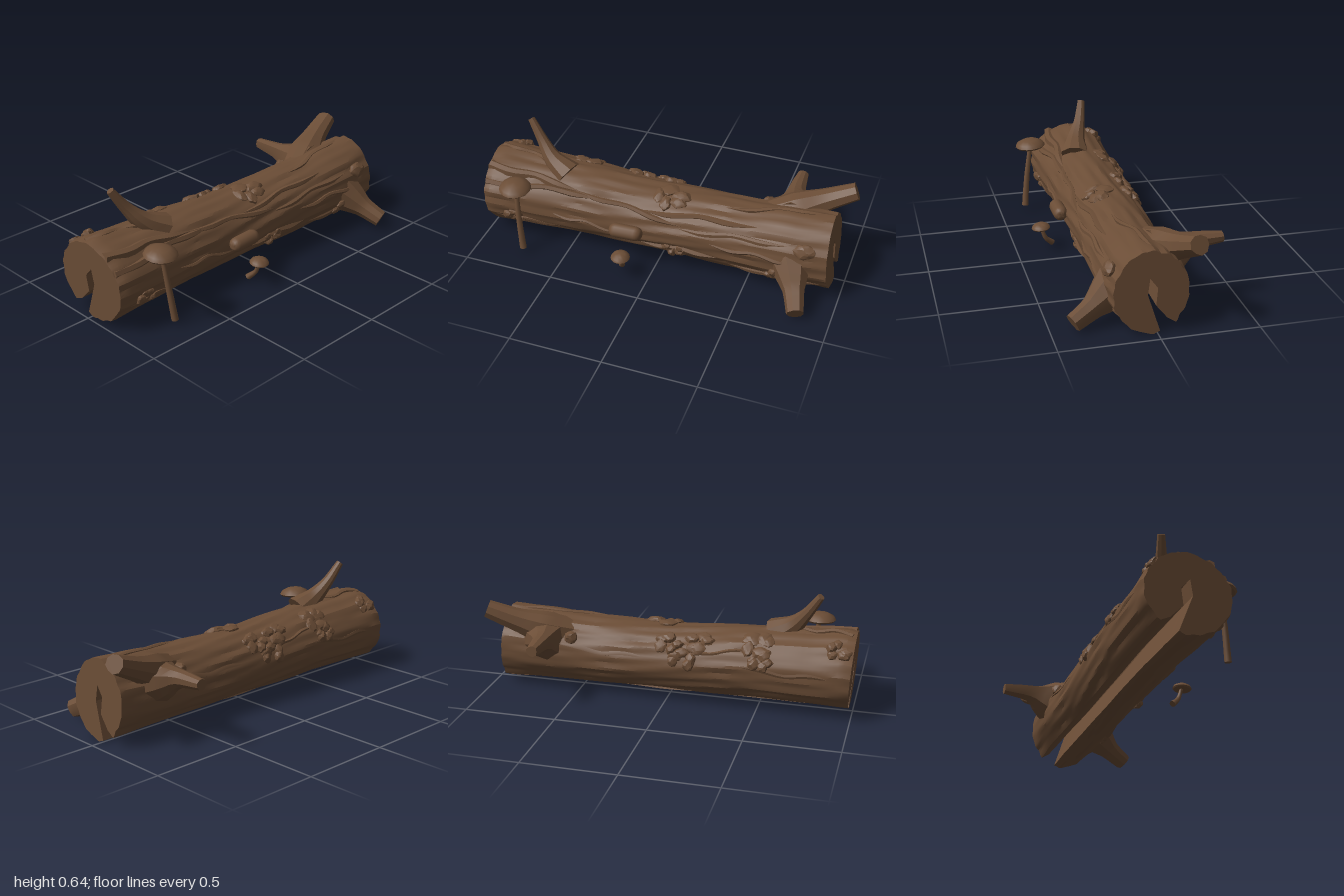
import * as THREE from 'three';
import { toCreasedNormals } from 'three/addons/utils/BufferGeometryUtils.js';

const bark = new THREE.MeshStandardMaterial({ color: 0x6b4d36 });
bark.name = 'barkBrown';

let seed = 7;
const rand = () => (seed = (seed * 16807) % 2147483647) / 2147483647;
const V = (x, y, z) => new THREE.Vector3(x, y, z);

function mesh(name, geometry, crease = 0.45) {
  const m = new THREE.Mesh(toCreasedNormals(geometry, crease), bark);
  m.name = name;
  return m;
}

// Skin a list of rings and close both ends; outline is the flat shape of the caps
function loft(rings, outline) {
  const n = rings[0].length, pos = [], index = [];
  rings.forEach(r => r.forEach(p => pos.push(p.x, p.y, p.z)));
  for (let i = 0; i < rings.length - 1; i++) {
    for (let j = 0; j < n; j++) {
      const a = i * n + j, b = i * n + (j + 1) % n;
      index.push(a, b, a + n, b, b + n, a + n);
    }
  }
  const last = (rings.length - 1) * n;
  for (let [a, b, c] of THREE.ShapeUtils.triangulateShape(outline, [])) {
    const [p, q, r] = [outline[a], outline[b], outline[c]];
    if ((q.x - p.x) * (r.y - p.y) - (q.y - p.y) * (r.x - p.x) < 0) [b, c] = [c, b];
    index.push(last + a, last + b, last + c, a, c, b);
  }
  const g = new THREE.BufferGeometry();
  g.setAttribute('position', new THREE.Float32BufferAttribute(pos, 3));
  g.setIndex(index);
  return g;
}

// Trunk size along x: x, zMin, zMax, yMin, yMax
const stations = [
  [-0.99, -0.19, 0.255, 0.02, 0.435], [-0.96, -0.195, 0.265, 0.02, 0.445],
  [-0.75, -0.19, 0.25, 0.025, 0.43], [-0.5, -0.185, 0.235, 0.03, 0.42],
  [0, -0.175, 0.228, 0.03, 0.395], [0.45, -0.165, 0.23, 0.027, 0.4],
  [0.72, -0.17, 0.237, 0.022, 0.42], [0.93, -0.155, 0.215, 0.012, 0.43]];

function sizeAt(x) {
  let i = 0;
  while (i < stations.length - 2 && x > stations[i + 1][0]) i++;
  const A = stations[i], B = stations[i + 1];
  const t = THREE.MathUtils.smoothstep(x, A[0], B[0]);
  const [, z0, z1, y0, y1] = A.map((v, k) => v + (B[k] - v) * t);
  return { zc: (z0 + z1) / 2, hz: (z1 - z0) / 2, yc: (y0 + y1) / 2, hy: (y1 - y0) / 2 };
}

// Point on the bark; angle 0 is the top and PI/2 the front
function surf(x, a, lift = 0) {
  const s = sizeAt(x);
  const ridge = 0.022 * Math.sin(7 * a + 2.2 * x + Math.sin(5 * x)) * Math.sin(2 * x + 3 * a)
    + 0.022 * Math.abs(Math.sin(8 * a - 1.3 * x + 0.6 * Math.sin(7 * x)))
    + 0.012 * Math.sin(19 * a + 5 * Math.sin(2.5 * x)) - 0.012;
  const k = 1 + ridge + lift;
  return V(x, s.yc + s.hy * k * Math.cos(a), s.zc + s.hz * k * Math.sin(a));
}

// Trunk with the split running along its underside
function trunkGeometry() {
  const split = [[0.1, -0.05], [0.04, 0.35], [-0.17, 0.1], [-0.12, -0.33], [-0.42, -0.66]];
  const rings = [], around = 72, along = 60;
  for (let i = 0; i <= along; i++) {
    const x = -0.99 + 1.92 * i / along, s = sizeAt(x), ring = [];
    for (let j = 0; j <= around; j++) ring.push(surf(x, -2.45 + 5.82 * j / around));
    split.forEach(([z, y]) => ring.push(V(x, s.yc + y * s.hy, s.zc + z * s.hz)));
    rings.push(ring);
  }
  const outline = rings[along].map(p => new THREE.Vector2(p.y, p.z));
  // Ragged, slightly slanted sawn ends
  for (const ring of [rings[0], rings[along]]) ring.forEach(p => { p.x -= (p.y - 0.22) * 0.05; });
  return loft(rings, outline);
}

// Faceted limb along a path, with a radius for each path point
function limb(path, radii, sides = 9, steps = 10, rough = 0.1) {
  const curve = new THREE.CatmullRomCurve3(path), f = curve.computeFrenetFrames(steps);
  const wobble = Array.from({ length: sides }, () => 1 + (rand() - 0.5) * 2 * rough);
  const rings = [];
  for (let i = 0; i <= steps; i++) {
    const t = i / steps, u = curve.getUtoTmapping(t) * (radii.length - 1);
    const k = Math.min(Math.floor(u), radii.length - 2);
    const r = THREE.MathUtils.lerp(radii[k], radii[k + 1], u - k);
    rings.push(wobble.map((w, j) => {
      const a = j / sides * Math.PI * 2;
      return curve.getPointAt(t).addScaledVector(f.normals[i], r * w * Math.cos(a))
        .addScaledVector(f.binormals[i], r * w * Math.sin(a));
    }));
  }
  const outline = wobble.map((w, j) => new THREE.Vector2(
    w * Math.cos(j / sides * Math.PI * 2), w * Math.sin(j / sides * Math.PI * 2)));
  return loft(rings, outline);
}

// Flattened, uneven lump pressed onto the bark
function lump(x, a, sx, sy, sz) {
  const g = new THREE.IcosahedronGeometry(1, 2), p = g.attributes.position;
  const ph = rand() * 6;
  for (let i = 0; i < p.count; i++) {
    const v = V(p.getX(i), p.getY(i), p.getZ(i));
    v.multiplyScalar(1 + 0.13 * Math.sin(4 * v.x + ph) * Math.cos(5 * v.z + ph) + 0.06 * Math.sin(7 * v.y + ph));
    p.setXYZ(i, v.x * sx, v.y * sy, v.z * sz);
  }
  const m = mesh('barkLump', g, 0.35);
  m.position.copy(surf(x, a));
  m.rotation.x = a;
  return m;
}

// Mushroom from a lathed cap and a leaning stem
function mushroom(name, cap, radius, height, stem, radii) {
  const g = new THREE.Group();
  g.name = name;
  const profile = [[0, -0.1], [0.45, -0.25], [0.9, -0.2], [1, 0], [0.88, 0.35], [0.5, 0.68], [0, 0.78]]
    .map(([r, y]) => new THREE.Vector2(r * radius, y * height));
  const top = mesh('mushroomCap', new THREE.LatheGeometry(profile, 16), 0.7);
  top.position.copy(cap);
  top.rotation.x = 0.08;
  g.add(top, mesh('mushroomStem', limb(stem, radii, 8, 6, 0.05), 0.9));
  return g;
}

export function createModel() {
  const log = new THREE.Group();
  log.name = 'fallenLog';
  log.add(mesh('trunk', trunkGeometry(), 0.4));

  // Broken branches
  log.add(mesh('backBranch', limb(
    [V(0.69, 0.29, -0.06), V(0.67, 0.315, -0.17), V(0.65, 0.335, -0.25), V(0.645, 0.342, -0.415)],
    [0.15, 0.1, 0.05, 0.03])));
  log.add(mesh('endBranch', limb(
    [V(0.56, 0.32, -0.03), V(0.7, 0.355, -0.09), V(0.83, 0.405, -0.14), V(0.985, 0.47, -0.182)],
    [0.08, 0.095, 0.065, 0.05])));
  log.add(mesh('frontBranch', limb(
    [V(0.72, 0.2, 0.13), V(0.76, 0.15, 0.215), V(0.79, 0.105, 0.29), V(0.825, 0.052, 0.39)],
    [0.13, 0.09, 0.056, 0.046])));
  log.add(mesh('topBranch', limb(
    [V(-0.56, 0.385, 0.07), V(-0.66, 0.45, 0.045), V(-0.73, 0.53, 0.01), V(-0.805, 0.64, -0.02)],
    [0.085, 0.052, 0.032, 0.02])));

  // Raised bark strips: x start, x end, angle start, angle end, radius
  const strips = [
    [-0.99, -0.45, 0.55, 0.75, 0.024], [-0.99, -0.3, 1.0, 0.8, 0.022], [-0.98, -0.6, -0.2, 0.1, 0.018],
    [-0.5, 0.15, 0.75, 1.05, 0.02], [-0.1, 0.55, 0.85, 0.65, 0.018], [0.1, 0.75, 1.15, 1.0, 0.016],
    [-0.95, -0.55, 1.95, 2.05, 0.016], [-0.1, 0.35, 1.95, 1.85, 0.018], [0.4, 0.9, 2.1, 2.2, 0.018],
    [-0.6, -0.2, 1.55, 1.75, 0.013], [0.3, 0.8, 1.4, 1.5, 0.013], [0.35, 0.9, 0.25, -0.2, 0.02],
    [-0.5, 0, -0.9, -1.05, 0.013], [-0.9, -0.4, -1.5, -1.35, 0.013], [0.1, 0.6, -1.3, -1.2, 0.012]];
  for (const [x0, x1, a0, a1, r] of strips) {
    const path = [0, 0.25, 0.5, 0.75, 1].map(t => surf(
      x0 + (x1 - x0) * t, a0 + (a1 - a0) * t + 0.06 * Math.sin(9 * t), -0.02));
    log.add(mesh('barkStrip', limb(path, [x0 < -0.97 ? r : 0.003, r, r * 0.8, r, 0.003], 6, 14, 0.25), 0.35));
  }

  // Clumps of rough bark: x, angle, spread
  const clumps = [[0.04, 0.28, 0.06], [-0.18, -0.72, 0.05], [-0.02, -0.8, 0.05], [-0.5, -0.7, 0.06],
    [-0.1, -1.25, 0.05], [-0.52, -1.15, 0.04], [-0.92, -0.75, 0.04], [0.1, 1.95, 0.04],
    [-0.82, 1.95, 0.04], [0.66, 2.05, 0.035]];
  for (const [x, a, s] of clumps) {
    for (let i = 0; i < 5; i++) {
      const t = i / 5 * Math.PI * 2 + rand();
      log.add(lump(x + Math.cos(t) * s, a + Math.sin(t) * s * 4,
        s * (0.5 + 0.4 * rand()), 0.016 + 0.008 * rand(), s * (0.5 + 0.3 * rand())));
    }
  }

  // Round knots of lost twigs
  log.add(lump(0.81, 1.1, 0.058, 0.03, 0.04), lump(0.53, -0.95, 0.035, 0.035, 0.035));

  // Rounded stub on the front
  const stub = mesh('frontStub', new THREE.CapsuleGeometry(0.04, 0.11, 6, 12), 0.8);
  stub.rotation.z = Math.PI / 2 + 0.03;
  stub.position.set(-0.155, 0.228, 0.258);
  log.add(stub);

  // Mushrooms beside the log
  log.add(mushroom('tallMushroom', V(-0.77, 0.4, 0.302), 0.087, 0.05,
    [V(-0.765, 0.4, 0.303), V(-0.75, 0.22, 0.33), V(-0.73, 0.035, 0.35)], [0.012, 0.016, 0.019]));
  log.add(mushroom('smallMushroom', V(-0.147, 0.135, 0.36), 0.052, 0.034,
    [V(-0.147, 0.135, 0.358), V(-0.148, 0.07, 0.335), V(-0.165, 0.03, 0.295)], [0.01, 0.013, 0.018]));
  return log;
}
